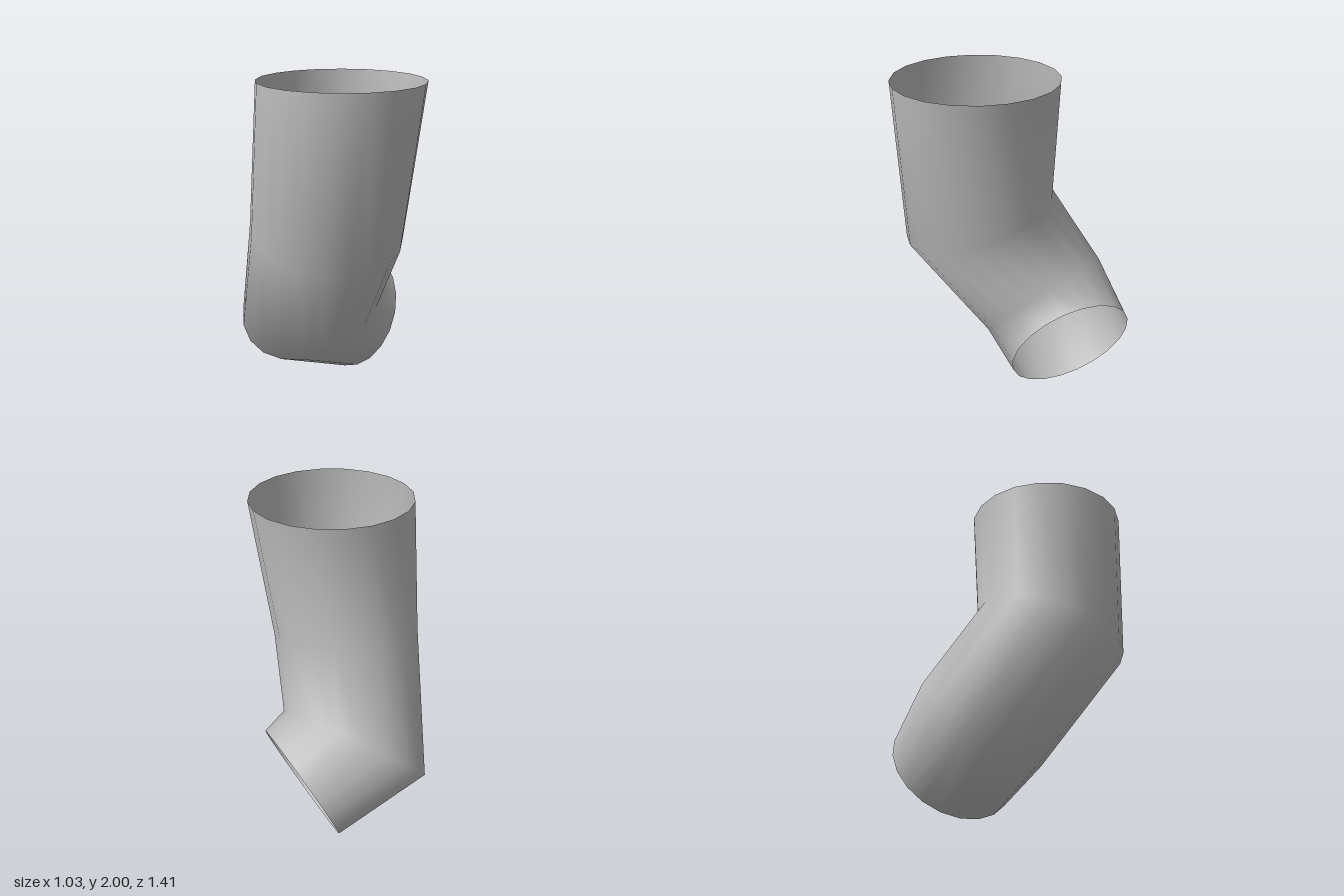
import * as THREE from 'three';

const SIDES = 20;
const V = (x, y, z) => new THREE.Vector3(x, y, z);

// Ring of points around a centre, slid along the pipe axis onto its cutting plane
function ring({ centre, radius, a, b, axis, plane }) {
  return Array.from({ length: SIDES }, (_, i) => {
    const t = (i / SIDES) * Math.PI * 2;
    const p = a.clone().multiplyScalar(radius * Math.cos(t)).addScaledVector(b, radius * Math.sin(t));
    p.addScaledVector(axis, -p.dot(plane) / axis.dot(plane));
    return p.add(centre);
  });
}

// Smooth open skin through successive rings
function skin(rings) {
  const index = [];
  for (let j = 0; j < rings.length - 1; j++) {
    for (let i = 0; i < SIDES; i++) {
      const k = (i + 1) % SIDES;
      const p = j * SIDES + i, q = j * SIDES + k;
      index.push(p, q, p + SIDES, q, q + SIDES, p + SIDES);
    }
  }
  const geometry = new THREE.BufferGeometry().setFromPoints(rings.flat());
  geometry.setIndex(index);
  geometry.computeVertexNormals();
  return geometry;
}

export function createModel() {
  const group = new THREE.Group();
  group.name = 'bentPipe';
  const grey = new THREE.MeshStandardMaterial({ color: 0xbcbcbc, side: THREE.DoubleSide });
  grey.name = 'grey';

  // Axes of the upright, sloping and outlet sections
  const down = V(0, -1, 0);
  const slope = V(0, -0.824, -0.567);
  const outlet = V(0.86, -0.418, -0.29).normalize();
  const side = V(1, 0, 0);
  const slopeFront = V(0, -0.567, 0.824);
  const outletSide = slopeFront.clone().cross(outlet).normalize();
  if (outletSide.x < 0) outletSide.negate();
  const mitre = (p, q) => p.clone().add(q).normalize();

  // Upper rim, first bend, elbow, outlet rim
  const rings = [
    { centre: V(0.025, 2, 0.22), radius: 0.488, a: side, b: V(0, 0, 1), axis: down, plane: down },
    { centre: V(-0.06, 1.12, 0.21), radius: 0.452, a: side, b: V(0, 0, 1), axis: down, plane: mitre(down, slope) },
    { centre: V(-0.05, 0.524, -0.2), radius: 0.424, a: side, b: slopeFront, axis: slope, plane: mitre(slope, outlet) },
    { centre: V(0.3, 0.357, -0.328), radius: 0.392, a: outletSide, b: slopeFront, axis: outlet, plane: outlet },
  ].map(ring);

  const pipe = new THREE.Mesh(skin(rings), grey);
  pipe.name = 'pipeWall';
  group.add(pipe);
  return group;
}
